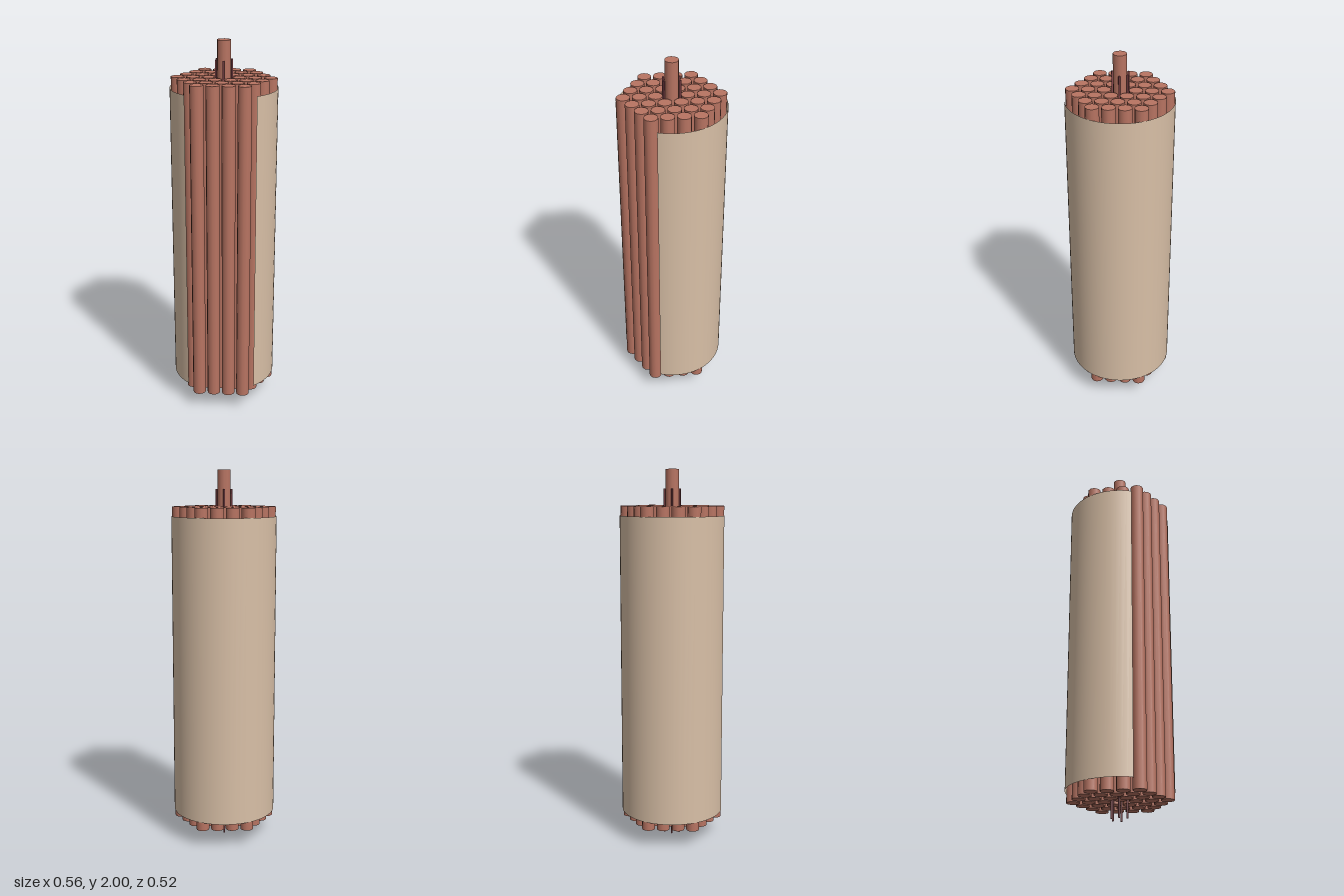
import * as THREE from 'three';

const PITCH = 0.0795, ROW = PITCH * Math.sqrt(3) / 2;
const AXIS_Z = 0.018; // bundle axis

export function createModel() {
  const model = new THREE.Group();
  const rodMat = new THREE.MeshStandardMaterial({ color: 0xb87462 });
  const pinMat = new THREE.MeshStandardMaterial({ color: 0x8a4a50 });
  const shellMat = new THREE.MeshStandardMaterial({ color: 0xd8bfa6, side: THREE.DoubleSide });

  const bundle = new THREE.Group();
  bundle.name = 'rodBundle';
  bundle.position.z = AXIS_Z;
  model.add(bundle);

  // Upright cylinder between two heights
  function rod(name, x, z, radius, y0, y1, sides, mat) {
    const mesh = new THREE.Mesh(new THREE.CylinderGeometry(radius, radius, y1 - y0, sides), mat);
    mesh.name = name;
    mesh.position.set(x, (y0 + y1) / 2, z);
    bundle.add(mesh);
  }

  // Hexagonal packing of rods, with a taller one in the middle
  for (let row = -3; row <= 3; row++) {
    const count = 7 - Math.abs(row);
    for (let i = 0; i < count; i++) {
      const x = (i - (count - 1) / 2) * PITCH;
      const centre = row === 0 && i === 3;
      rod(centre ? 'centreRod' : 'rod', x, row * ROW, 0.035,
        centre ? 0.1 : 0.09, centre ? 2 : 1.81, 12, rodMat);
    }
  }

  // Thin pins in five of the six gaps around the centre rod
  for (let k = 0; k < 5; k++) {
    const a = Math.PI / 2 + (k + 0) * Math.PI / 3;
    const r = PITCH / Math.sqrt(3);
    rod('pin', Math.cos(a) * r, Math.sin(a) * r, 0.005, 0, 1.9, 8, pinMat);
  }

  // Thin outer shell, open at the front
  const gap = 0.7;
  const shell = new THREE.Mesh(
    new THREE.CylinderGeometry(0.278, 0.278, 1.62, 48, 1, true, gap, Math.PI * 2 - gap * 2), shellMat);
  shell.name = 'shell';
  shell.position.y = 0.95;
  bundle.add(shell);

  return model;
}
